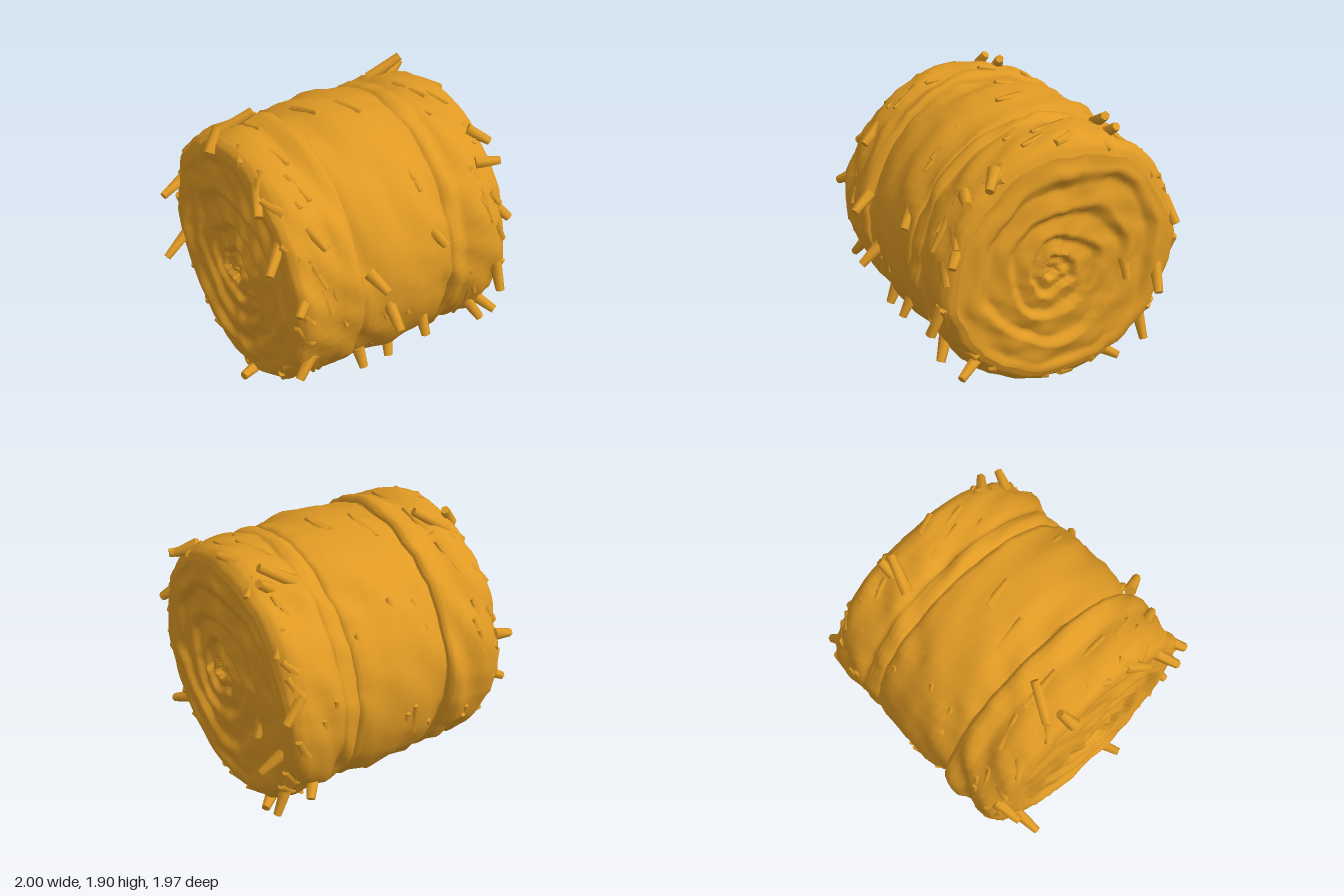
import * as THREE from 'three';
import { toCreasedNormals } from 'three/addons/utils/BufferGeometryUtils.js';

const CY = 0.935, CZ = -0.05, X0 = -0.8, X1 = 0.865;
const SEG = 80, TAU = Math.PI * 2;

// Roll radius along x: rounded rims, soft swells and two pressed-in wraps
const PROFILE = [
  [-0.8, 0.77], [-0.785, 0.82], [-0.75, 0.858], [-0.7, 0.88], [-0.62, 0.888], [-0.5, 0.88], [-0.45, 0.898], [-0.4, 0.908],
  [-0.35, 0.9], [-0.33, 0.88], [-0.322, 0.855], [-0.27, 0.872], [-0.12, 0.905], [0.1, 0.91], [0.28, 0.89], [0.362, 0.874],
  [0.37, 0.864], [0.39, 0.88], [0.43, 0.892], [0.475, 0.885], [0.49, 0.874], [0.55, 0.89], [0.65, 0.898], [0.74, 0.889],
  [0.8, 0.868], [0.845, 0.83], [0.865, 0.78],
];

function profileRadius(x) {
  let k = 1;
  while (k < PROFILE.length - 1 && PROFILE[k][0] < x) k++;
  const [xa, ra] = PROFILE[k - 1], [xb, rb] = PROFILE[k];
  return THREE.MathUtils.lerp(ra, rb, THREE.MathUtils.clamp((x - xa) / (xb - xa), 0, 1));
}

// Wisps of hay wound around the roll on a steep slant
function radiusAt(x, a) {
  return profileRadius(x)
    + 0.009 * Math.sin(6 * a + 17 * x + 1.5 * Math.sin(2 * a + 1))
    + 0.007 * Math.sin(4 * a + 31 * x + 2 * Math.sin(3 * a + 4 * x))
    + 0.007 * Math.sin(13 * a + 21 * x + 3 * Math.sin(3 * a))
    + 0.006 * Math.sin(21 * a + 12 * x + 2 * Math.sin(5 * a - 3 * x));
}

// Closed-around surface from rows of angle sections
function surface(rows, point) {
  const pos = [], index = [];
  for (let i = 0; i <= rows; i++)
    for (let j = 0; j < SEG; j++) pos.push(...point(i, (j / SEG) * TAU));
  for (let i = 0; i < rows; i++)
    for (let j = 0; j < SEG; j++) {
      const n = (j + 1) % SEG;
      const a = i * SEG + j, b = a + SEG, c = (i + 1) * SEG + n, d = i * SEG + n;
      index.push(a, b, c, a, c, d);
    }
  const g = new THREE.BufferGeometry();
  g.setAttribute('position', new THREE.Float32BufferAttribute(pos, 3));
  g.setIndex(index);
  return toCreasedNormals(g, 1.2);
}

// Rolled end: a spiral of layers, tight at the core, each dropping towards the middle
function endPoint(side, t, a) {
  const x = side > 0 ? X1 : X0;
  const r = t * radiusAt(x, a);
  const turn = 5 * Math.pow(t, 0.6) - side * a / TAU + 0.1 * Math.sin(3 * a + 5 * t) + 0.06 * Math.sin(5 * a - 9 * t);
  const f = turn - Math.floor(turn);
  const layer = f < 0.3 ? f / 0.3 : (1 - f) / 0.7;
  const fade = Math.min(1, (1 - t) / 0.12) * Math.min(1, t / 0.08);
  const wisp = 0.007 * Math.sin(7 * a + 18 * t) + 0.006 * Math.sin(11 * a - 25 * t);
  const s = 1 - t;
  const dish = (side > 0 ? 0.045 : 0) * s + 0.03 * Math.max(0, 1 - t / 0.12);
  const h = fade * (0.042 * layer - 0.012 + wisp * t) - dish;
  return [x + side * h, CY - 0.03 * s + r * Math.sin(a), CZ + 0.08 * s + r * Math.cos(a)];
}

// Straws: base x,y,z then tip x,y,z
const FRONT_STRAWS = [
  [-0.29, 1.16, 0.82, -0.23, 1.07, 0.96], [-0.13, 0.87, 0.8, -0.13, 0.72, 0.97],
  [0.19, 0.6, 0.74, 0.19, 0.44, 0.82], [0.61, 0.5, 0.7, 0.69, 0.35, 0.78],
  [0.77, 0.82, 0.8, 0.77, 0.62, 0.88], [0.09, 0.27, 0.5, 0.06, 0.14, 0.57],
  [-0.26, 0.42, 0.66, -0.25, 0.29, 0.72], [0.23, 1.27, 0.74, 0.31, 1.16, 0.84],
  [-0.61, 1.5, 0.6, -0.55, 1.4, 0.74], [0.7, 1.53, 0.6, 0.86, 1.53, 0.66],
  [-0.69, 1.14, 0.74, -0.82, 1.04, 0.84], [-0.72, 1.46, 0.5, -0.91, 1.27, 0.64],
  [-0.66, 0.6, 0.72, -0.78, 0.46, 0.76], [0.78, 0.38, 0.55, 0.87, 0.3, 0.72],
  [0.8, 1.22, 0.7, 0.88, 1.13, 0.78], [0.76, 1.68, 0.42, 0.88, 1.6, 0.52],
];
const REAR_STRAWS = [
  [-0.78, 0.76, -0.75, -0.98, 0.62, -0.71], [0.82, 0.78, -0.77, 0.98, 0.61, -0.71],
  [0.54, 1.74, -0.43, 0.76, 1.88, -0.37], [-0.7, 1.72, -0.37, -0.48, 1.87, -0.28],
  [-0.74, 1.13, -0.86, -0.92, 1.06, -0.82], [0.76, 1.2, -0.85, 0.89, 1.05, -0.88],
  [-0.72, 0.14, 0.14, -0.9, 0.14, 0.21], [0.74, 0.13, -0.42, 0.84, 0.1, -0.5],
  [0.78, 0.38, -0.68, 0.86, 0.19, -0.69], [0.62, 0.45, -0.75, 0.7, 0.36, -0.85],
  [0.83, 0.87, -0.5, 0.89, 0.73, -0.51], [-0.82, 1.68, -0.25, -0.73, 1.82, -0.3],
  [0.66, 1.7, -0.4, 0.8, 1.81, -0.43], [-0.76, 1.66, 0.25, -0.84, 1.55, 0.4],
];

// One stalk, wider where it leaves the roll
function straw(from, to, tip, base, material) {
  const a = new THREE.Vector3(...from), b = new THREE.Vector3(...to);
  const dir = b.clone().sub(a);
  const g = toCreasedNormals(new THREE.CylinderGeometry(tip, base, dir.length(), 6), 1.1);
  const m = new THREE.Mesh(g, material);
  m.position.copy(a).lerp(b, 0.5);
  m.quaternion.setFromUnitVectors(new THREE.Vector3(0, 1, 0), dir.normalize());
  m.name = 'straw';
  return m;
}

export function createModel() {
  const model = new THREE.Group();
  model.name = 'hayBale';
  const hay = new THREE.MeshStandardMaterial({ color: 0xe09a24 });
  hay.name = 'golden hay';
  const add = (name, geometry) => {
    const m = new THREE.Mesh(geometry, hay);
    m.name = name;
    model.add(m);
  };
  const group = (name) => {
    const g = new THREE.Group();
    g.name = name;
    model.add(g);
    return g;
  };

  // Rolled body, with a row at each profile point and two between
  const xs = [X0];
  for (let k = 1; k < PROFILE.length; k++)
    for (let s = 1; s <= 3; s++) xs.push(THREE.MathUtils.lerp(PROFILE[k - 1][0], PROFILE[k][0], s / 3));
  add('rolledBody', surface(xs.length - 1, (i, a) => {
    const r = radiusAt(xs[i], a);
    return [xs[i], CY + r * Math.sin(a), CZ + r * Math.cos(a)];
  }));

  // Spiral ends
  const N = 48;
  add('leftEnd', surface(N, (i, a) => endPoint(1, 1 - i / N, a)));
  add('rightEnd', surface(N, (i, a) => endPoint(-1, i / N, a)));

  // Loose straws
  const straws = group('looseStraws');
  for (const s of [...FRONT_STRAWS, ...REAR_STRAWS])
    straws.add(straw(s.slice(0, 3), s.slice(3), 0.03, 0.045, hay));

  let seed = 7;
  const rand = () => (seed = (seed * 16807) % 2147483647) / 2147483647;
  const at = (x, lift, a) => {
    const r = radiusAt(x, a) + lift;
    return [x, CY + r * Math.sin(a), CZ + r * Math.cos(a)];
  };

  // Tufts folded along both rims
  const tufts = group('rimTufts');
  for (const side of [-1, 1])
    for (let k = 0; k < 18; k++) {
      const a = ((k + rand() * 0.7) / 18) * TAU;
      const x = side > 0 ? 0.75 : -0.7;
      const turn = (rand() < 0.5 ? -1 : 1) * (0.1 + rand() * 0.1);
      tufts.add(straw(at(x, -0.04, a), at(x + side * (0.07 + rand() * 0.03), 0, a + turn), 0.025, 0.05, hay));
    }

  // Flattened wisps lying along the winding, lifting at the tip
  const wisps = group('woundWisps');
  for (let k = 0; k < 54; k++) {
    const a = ((k * 0.382 + rand() * 0.04) % 1) * TAU;
    const x = [-0.6, 0, 0.6][k % 3] + (rand() - 0.5) * (k % 3 === 1 ? 0.5 : 0.16);
    const span = 0.2 + rand() * 0.15;
    wisps.add(straw(at(x, -0.035, a), at(x + 0.02 + rand() * 0.06, 0.003, a - span), 0.016, 0.04, hay));
  }
  return model;
}
